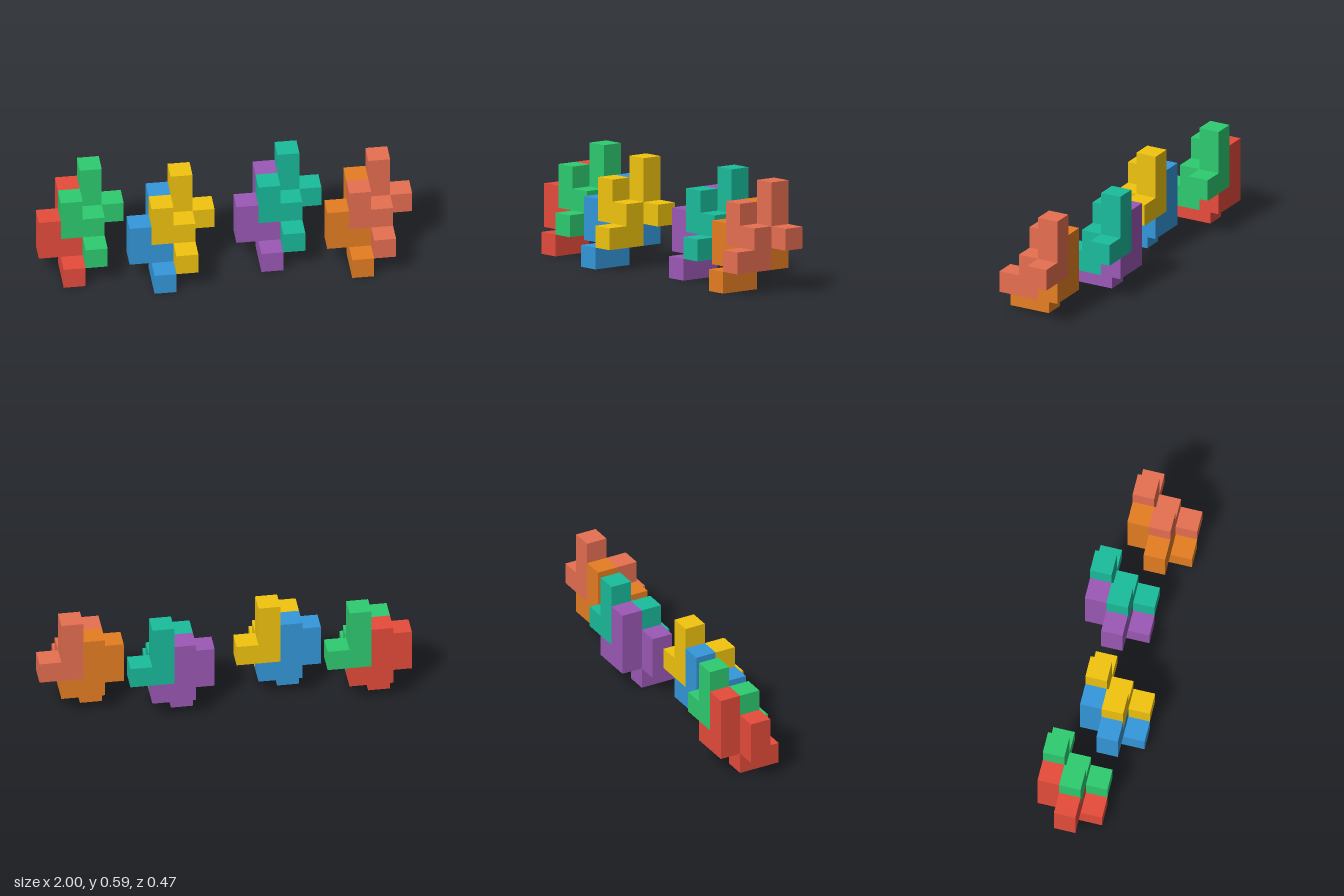
import * as THREE from 'three';
import { mergeGeometries } from 'three/addons/utils/BufferGeometryUtils.js';

const U = 2 / 17; // edge of one cube

// Cubes of one puzzle piece, as [x, y, z] cells
const CELLS = [
  [1, 1, 0], [1, 2, 0], [1, 3, 0], [2, 1, 0], // upright L at the back
  [1, 1, 1], [0, 1, 1], [0, 2, 1],            // middle arm, turned up
  [1, 0, 1], [1, 0, 2],                       // foot, turned forward
];

// Outward directions with the rotation that turns a +z plane to face them
const SIDES = [
  [[0, 0, 1], 0, 0], [[0, 0, -1], 0, Math.PI],
  [[1, 0, 0], 0, Math.PI / 2], [[-1, 0, 0], 0, -Math.PI / 2],
  [[0, 1, 0], -Math.PI / 2, 0], [[0, -1, 0], Math.PI / 2, 0],
];

// Outer skin of the piece: a square wherever a cube has no neighbour
function pieceGeometry() {
  const filled = new Set(CELLS.map(String));
  const faces = [];
  for (const cell of CELLS) {
    for (const [dir, rx, ry] of SIDES) {
      if (filled.has(String(cell.map((c, i) => c + dir[i])))) continue;
      const center = cell.map((c, i) => (c + 0.5 + dir[i] / 2) * U);
      faces.push(new THREE.PlaneGeometry(U, U).rotateX(rx).rotateY(ry).translate(...center));
    }
  }
  return mergeGeometries(faces);
}

export function createModel() {
  const model = new THREE.Group();
  const geometry = pieceGeometry();

  // Interlocked pairs: cell offset in x and z, lower and upper colours
  const pairs = [
    [0, -2, 0xe74c3c, 0x2ecc71],
    [4, -1, 0x3498db, 0xf1c40f],
    [9, -2, 0x9b59b6, 0x1abc9c],
    [13, -1, 0xe67e22, 0xe76f51],
  ];
  pairs.forEach(([x, z, lowerColor, upperColor], i) => {
    const pair = new THREE.Group();
    pair.name = `piecePair${i + 1}`;
    pair.position.set(x * U - 1, 0, z * U);
    // The upper piece is the same shape, one cell right and one up
    [['lowerPiece', lowerColor, 0], ['upperPiece', upperColor, U]].forEach(([name, color, shift]) => {
      const piece = new THREE.Mesh(geometry, new THREE.MeshStandardMaterial({ color }));
      piece.name = name;
      piece.position.set(shift, shift, 0);
      pair.add(piece);
    });
    model.add(pair);
  });
  return model;
}
